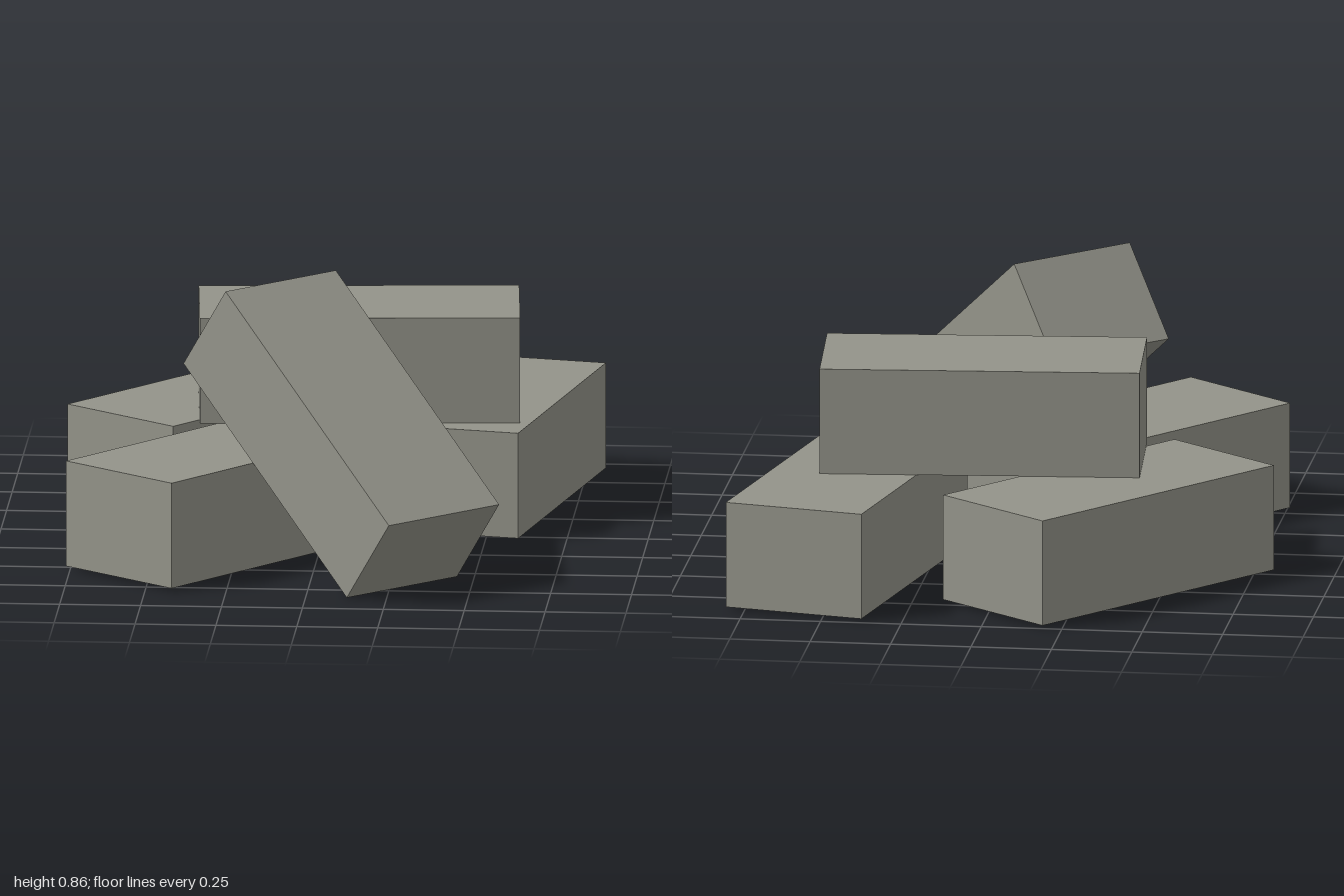
import * as THREE from 'three';

// Loose pile of identical rectangular bricks
export function createModel() {
  const group = new THREE.Group();
  const stone = new THREE.MeshStandardMaterial({ color: 0x94948a });
  stone.name = 'warm grey stone';
  const geometry = new THREE.BoxGeometry(0.443, 0.333, 0.988);

  // name, centre, pitch, yaw (length runs along local z)
  const bricks = [
    ['backRightBrick', [-0.328, 0.18, -0.48], 0, -0.678],
    ['backLeftBrick', [0.488, 0.18, -0.465], 0, -0.209],
    ['frontRightBrick', [-0.28, 0.18, 0.285], 0, -0.678],
    ['topBrick', [0.09, 0.513, -0.257], 0, 1.647],
    ['leaningBrick', [0.085, 0.435, 0.487], 0.653, 0.765],
  ];
  for (const [name, centre, pitch, yaw] of bricks) {
    const brick = new THREE.Mesh(geometry, stone);
    brick.name = name;
    brick.position.set(...centre);
    brick.rotation.set(pitch, yaw, 0, 'YXZ');
    group.add(brick);
  }
  return group;
}
